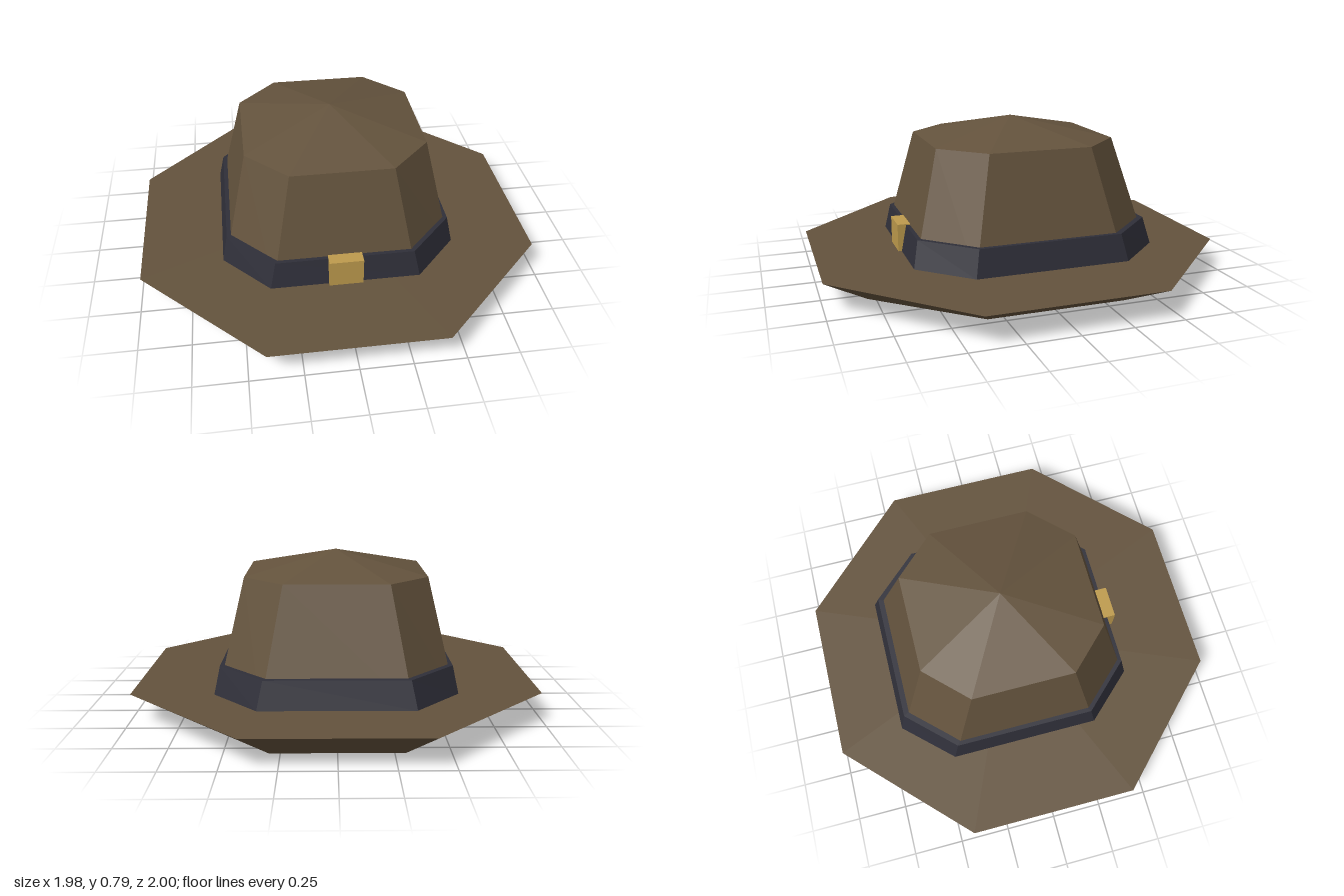
import * as THREE from 'three';

const flat = (name, color) => {
  const m = new THREE.MeshStandardMaterial({ color, flatShading: true });
  m.name = name;
  return m;
};

// Eight-sided ring: half sizes hx, hz; corners at cx (front/back edge) and cz (side edge); z offset oz
function ring({ y, hx, hz, cx, cz, oz }) {
  return [[hx, -cz], [hx, cz], [cx, hz], [-cx, hz], [-hx, cz], [-hx, -cz], [-cx, -hz], [cx, -hz]]
    .map(([x, z]) => [x, y, z + oz]);
}

// Skin two rings and close them; the top cap may rise to a peak
function octagonSolid(name, material, lower, upper, peakY = upper.y) {
  const a = ring(lower), b = ring(upper), pos = [];
  const top = [0, peakY, upper.oz], bottom = [0, lower.y, lower.oz];
  for (let i = 0; i < 8; i++) {
    const j = (i + 1) % 8;
    pos.push(a[i], b[i], b[j], a[i], b[j], a[j]);
    pos.push(top, b[j], b[i], bottom, a[i], a[j]);
  }
  const geometry = new THREE.BufferGeometry();
  geometry.setAttribute('position', new THREE.Float32BufferAttribute(pos.flat(), 3));
  geometry.computeVertexNormals();
  const mesh = new THREE.Mesh(geometry, material);
  mesh.name = name;
  return mesh;
}

export function createModel() {
  const felt = flat('brown felt', 0x64533d);
  const ribbon = flat('dark ribbon', 0x2f2f39);
  const brass = flat('brass', 0xbe9b4d);
  const hat = new THREE.Group();
  hat.name = 'hat';

  // Upturned brim
  hat.add(octagonSolid('brim', felt,
    { y: 0, hx: 0.71, hz: 0.8, cx: 0.3, cz: 0.335, oz: -0.01 },
    { y: 0.143, hx: 0.99, hz: 1, cx: 0.415, cz: 0.425, oz: 0 }));

  // Tapered crown with a shallow peaked top
  hat.add(octagonSolid('crown', felt,
    { y: 0.14, hx: 0.568, hz: 0.605, cx: 0.35, cz: 0.373, oz: -0.042 },
    { y: 0.687, hx: 0.445, hz: 0.457, cx: 0.248, cz: 0.255, oz: -0.028 }, 0.79));

  // Ribbon around the foot of the crown
  hat.add(octagonSolid('band', ribbon,
    { y: 0.141, hx: 0.586, hz: 0.622, cx: 0.365, cz: 0.383, oz: -0.047 },
    { y: 0.276, hx: 0.559, hz: 0.592, cx: 0.337, cz: 0.357, oz: -0.043 }));

  // Buckle at the front
  const buckle = new THREE.Mesh(new THREE.BoxGeometry(0.166, 0.138, 0.066), brass);
  buckle.name = 'buckle';
  buckle.position.set(0, 0.213, 0.559);
  hat.add(buckle);

  return hat;
}
